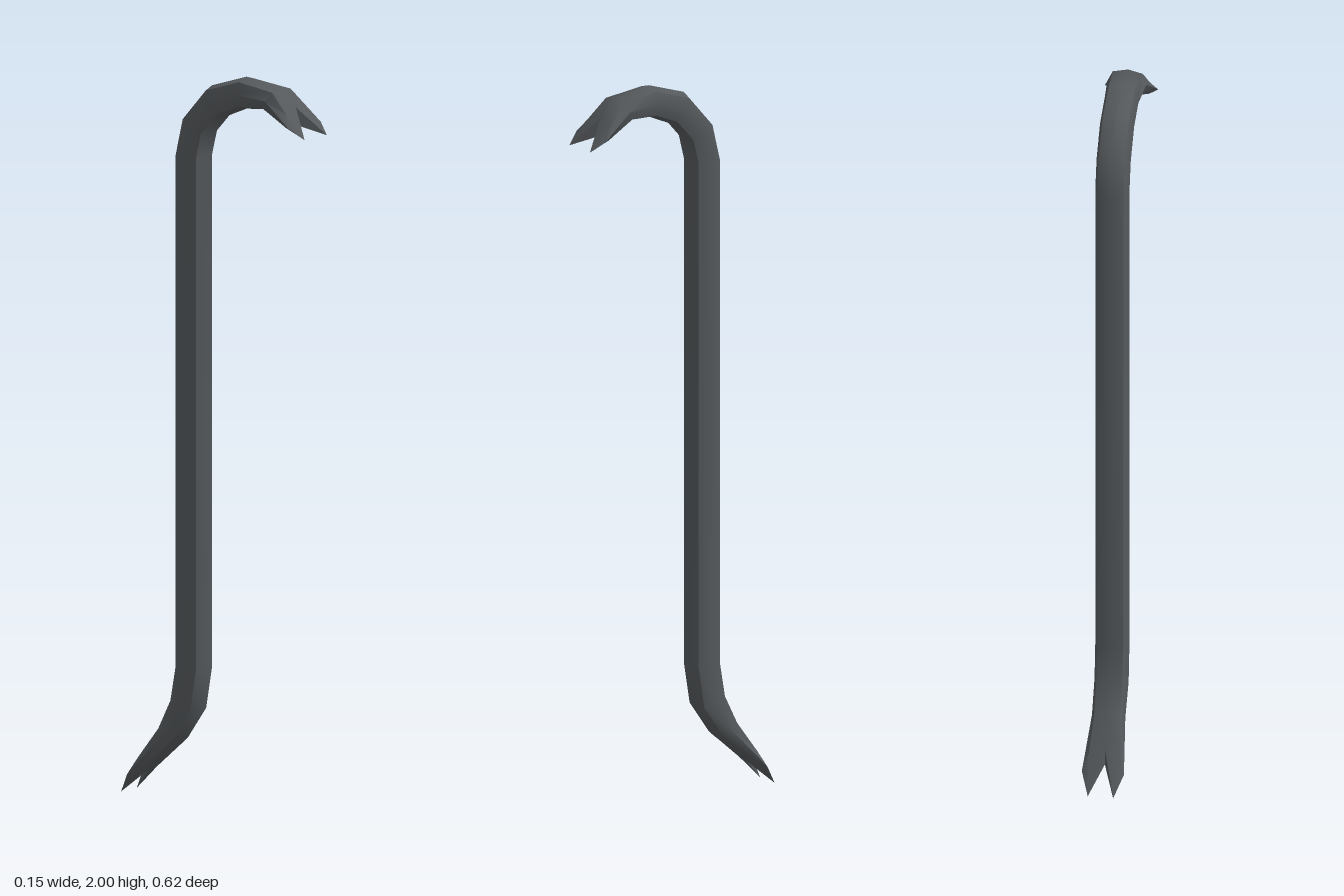
import * as THREE from 'three';
import { toCreasedNormals } from 'three/addons/utils/BufferGeometryUtils.js';

// Bar stations, hook to foot: outer z, y, inner z, y, centre x, half width
const STATIONS = [
  [0.20, 1.98, 0.16, 1.918, -0.003, 0.054],
  [0.08, 2.00, 0.08, 1.912, -0.007, 0.047],
  [-0.035, 1.965, 0.015, 1.885, -0.01, 0.047],
  [-0.115, 1.875, -0.035, 1.83, -0.012, 0.047],
  [-0.14, 1.77, -0.05, 1.77, -0.012, 0.047],
  [-0.14, 0.365, -0.05, 0.36, -0.012, 0.047],
  [-0.157, 0.27, -0.07, 0.24, -0.013, 0.047],
  [-0.195, 0.19, -0.135, 0.15, -0.014, 0.046],
];

// Claw points as [half width, y, z]
const HOOK_CLAW = {
  cx: 0,
  outerNotch: [0, 1.931, 0.243], outerEdge: [0.053, 1.918, 0.25],
  corner: [0.073, 1.885, 0.272], innerEdge: [0.053, 1.882, 0.25],
  innerNotch: [0, 1.883, 0.243], tip: [0.05, 1.855, 0.31],
};
const FOOT_CLAW = {
  cx: -0.0175,
  outerNotch: [0, 0.115, -0.243], outerEdge: [0.043, 0.1, -0.25],
  corner: [0.058, 0.055, -0.274], innerEdge: [0.043, 0.064, -0.25],
  innerNotch: [0, 0.064, -0.243], tip: [0.035, 0, -0.312],
};

// Octagonal section whose centre ridges are softer than its corners
function barRing([oz, oy, iz, iy, cx, hw]) {
  const c = 0.77;
  const profile = [[0, 1], [c, c], [1, 0], [c, -c], [0, -1], [-c, -c], [-1, 0], [-c, c]];
  return profile.map(([u, v]) => new THREE.Vector3(
    cx + u * hw,
    (oy + iy) / 2 + v * (oy - iy) / 2,
    (oz + iz) / 2 + v * (oz - iz) / 2,
  ));
}

const clawPoint = (claw, name, side) => {
  const [hw, y, z] = claw[name];
  return new THREE.Vector3(claw.cx + side * hw, y, z);
};

function clawRing(claw) {
  const order = [['outerNotch', 1], ['outerEdge', 1], ['corner', 1], ['innerEdge', 1],
    ['innerNotch', 1], ['innerEdge', -1], ['corner', -1], ['outerEdge', -1]];
  return order.map(([name, side]) => clawPoint(claw, name, side));
}

function createBarGeometry() {
  const rings = [clawRing(HOOK_CLAW), ...STATIONS.map(barRing), clawRing(FOOT_CLAW)];
  const points = [];

  // Skin between neighbouring sections
  for (let i = 0; i < rings.length - 1; i++) {
    for (let k = 0; k < 8; k++) {
      const n = (k + 1) % 8;
      const a = rings[i][k], b = rings[i][n], c = rings[i + 1][n], d = rings[i + 1][k];
      points.push(a, b, d, b, c, d);
    }
  }

  // Two pointed prongs close each end, with a wall along the notch
  const addProngs = (claw, ring, flip) => {
    for (const [side, loop] of [[1, [0, 1, 2, 3, 4]], [-1, [4, 5, 6, 7, 0]]]) {
      const tip = clawPoint(claw, 'tip', side);
      for (let j = 0; j < 5; j++) {
        const a = ring[loop[j]], b = ring[loop[(j + 1) % 5]];
        if (flip) points.push(b, a, tip);
        else points.push(a, b, tip);
      }
    }
  };
  addProngs(HOOK_CLAW, rings[0], true);
  addProngs(FOOT_CLAW, rings[rings.length - 1], false);

  const geometry = new THREE.BufferGeometry().setFromPoints(points);
  return toCreasedNormals(geometry, 0.75);
}

export function createModel() {
  const darkSteel = new THREE.MeshStandardMaterial({ color: 0x55595c });
  darkSteel.name = 'dark steel';

  const group = new THREE.Group();
  group.name = 'crowbar';
  const bar = new THREE.Mesh(createBarGeometry(), darkSteel);
  bar.name = 'clawedBar';
  group.add(bar);
  return group;
}
